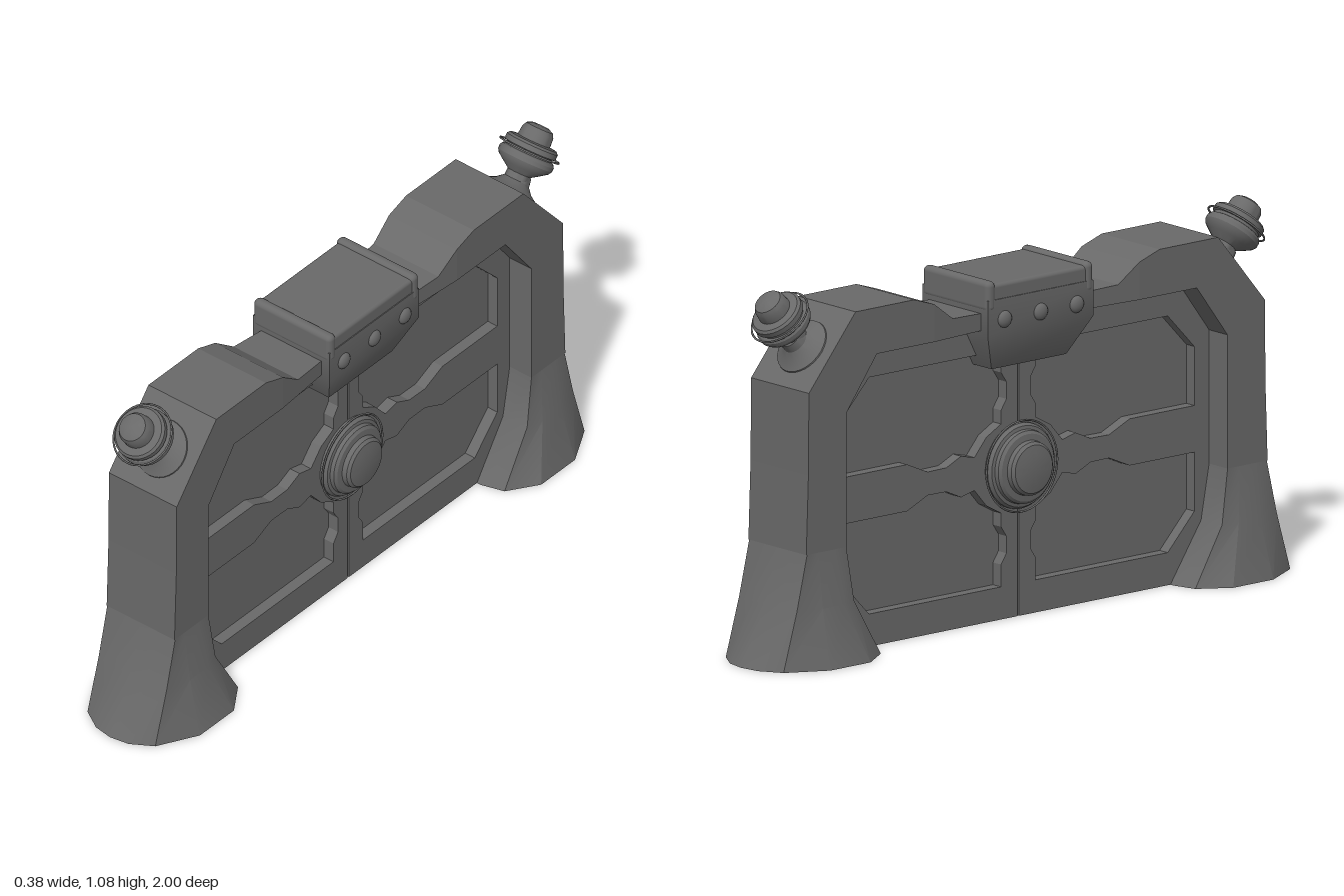
import * as THREE from 'three';
import { RoundedBoxGeometry } from 'three/addons/geometries/RoundedBoxGeometry.js';
import { toCreasedNormals } from 'three/addons/utils/BufferGeometryUtils.js';

const darkGrey = new THREE.MeshStandardMaterial({ color: 0x696969 });
const darkGreyOpen = new THREE.MeshStandardMaterial({ color: 0x696969, side: THREE.DoubleSide });
const CENTER_Y = 0.44;

function add(parent, name, geometry, material = darkGrey) {
  const mesh = new THREE.Mesh(geometry, material);
  mesh.name = name;
  parent.add(mesh);
  return mesh;
}

// Extrudes a (z, y) outline symmetrically along x.
function plate(points, halfDepth, holes = []) {
  const toVec = (list) => list.map(([z, y]) => new THREE.Vector2(z, y));
  const shape = new THREE.Shape(toVec(points));
  holes.forEach((h) => shape.holes.push(new THREE.Path(toVec(h))));
  const g = new THREE.ExtrudeGeometry(shape, { depth: 2 * halfDepth, bevelEnabled: false });
  return g.translate(0, 0, -halfDepth).rotateY(-Math.PI / 2);
}

// Skins rings of [x, z] points, each at a height y; the ends can be capped.
function loft(levels, capped) {
  const pos = [];
  const point = (l, i) => {
    const p = l.ring[i % l.ring.length];
    return [p[0], l.y, p[1]];
  };
  const first = levels[0], last = levels[levels.length - 1];
  for (let i = 0; i < first.ring.length; i++) {
    for (let k = 0; k < levels.length - 1; k++) {
      const a = point(levels[k], i), b = point(levels[k], i + 1);
      const c = point(levels[k + 1], i + 1), d = point(levels[k + 1], i);
      pos.push(...a, ...b, ...c, ...a, ...c, ...d);
    }
    if (capped) {
      pos.push(0, first.y, 0, ...point(first, i + 1), ...point(first, i));
      pos.push(0, last.y, 0, ...point(last, i), ...point(last, i + 1));
    }
  }
  const g = new THREE.BufferGeometry();
  g.setAttribute('position', new THREE.Float32BufferAttribute(pos, 3));
  return toCreasedNormals(g, 0.5);
}

function lathe(profile, segments = 32) {
  const pts = profile.map(([r, t]) => new THREE.Vector2(r, t));
  return toCreasedNormals(new THREE.LatheGeometry(pts, segments), 0.5);
}

// Upper pillar with its shoulder.
function shoulderGeometry() {
  return plate([
    [0.385, 0.985], [0.46, 1.01], [0.68, 1.01], [0.855, 0.8], [0.857, 0.56],
    [0.865, 0.33], [0.715, 0.33], [0.715, 0.72], [0.6, 0.875], [0.385, 0.875],
  ], 0.125);
}

// Low beam from the shoulder to the clamp, getting thinner inwards.
function beamGeometry() {
  const g = plate([[0.19, 0.925], [0.31, 0.93], [0.385, 0.985], [0.385, 0.875], [0.19, 0.875]], 1);
  const p = g.attributes.position;
  for (let i = 0; i < p.count; i++) {
    p.setX(i, Math.sign(p.getX(i)) * (0.11 + 0.015 * (p.getZ(i) - 0.19) / 0.195));
  }
  g.computeVertexNormals();
  return g;
}

// Flared hollow foot below the pillar.
function footGeometry() {
  const ring = (half) => [...half, ...half.slice(1).reverse().map(([x, z]) => [-x, z])];
  return loft([
    { y: 0, ring: ring([[0, 1], [0.06, 0.99], [0.125, 0.95], [0.19, 0.83], [0.19, 0.68], [0.13, 0.59], [0.06, 0.57]]) },
    { y: 0.17, ring: ring([[0, 0.91], [0.06, 0.908], [0.125, 0.9], [0.145, 0.82], [0.145, 0.74], [0.13, 0.69], [0.06, 0.685]]) },
    { y: 0.33, ring: ring([[0, 0.865], [0.06, 0.865], [0.125, 0.862], [0.125, 0.82], [0.125, 0.76], [0.125, 0.715], [0.06, 0.715]]) },
  ], false);
}

// Door leaf with two recessed panels, mirrored about the hub height.
function doorLeafGeometry() {
  const upper = [
    [0.66, 0.508], [0.66, 0.68], [0.56, 0.785], [0.065, 0.785], [0.065, 0.72],
    [0.045, 0.69], [0.045, 0.64], [0.065, 0.61], [0.065, 0.57], [0.12, 0.54],
    [0.165, 0.488], [0.215, 0.5], [0.27, 0.475], [0.34, 0.474], [0.417, 0.508],
  ];
  const lower = upper.map(([z, y]) => [z, 2 * CENTER_Y - y]);
  const outline = [[0.003, 0], [0.73, 0], [0.73, 0.72], [0.61, 0.89], [0.003, 0.89]];
  return plate(outline, 0.045, [upper, lower]);
}

// Beacon on the sloped shoulder: a cone square to the slope and a tilted lamp.
function makeBeacon() {
  const beacon = new THREE.Group();
  beacon.name = 'beacon';
  beacon.position.set(0, 0.9, 0.772);
  const base = add(beacon, 'beaconBase', lathe([
    [0.086, -0.005], [0.084, 0.004], [0.058, 0.018], [0.04, 0.036], [0.034, 0.06], [0, 0.065],
  ]));
  base.rotation.x = Math.atan2(0.77, 0.64);
  const lamp = new THREE.Group();
  lamp.name = 'beaconLamp';
  lamp.rotation.x = Math.atan2(0.65, 0.76);
  add(lamp, 'beaconBody', lathe([
    [0, 0.02], [0.036, 0.03], [0.036, 0.06], [0.062, 0.078], [0.078, 0.09], [0.084, 0.1],
    [0.084, 0.112], [0.079, 0.12], [0.072, 0.123], [0.072, 0.131], [0.079, 0.134],
    [0.079, 0.15], [0.072, 0.157], [0.05, 0.16], [0.048, 0.187], [0.041, 0.2],
    [0.026, 0.207], [0, 0.209],
  ]));
  const ring = add(lamp, 'beaconRing', new THREE.TorusGeometry(0.091, 0.003, 6, 40));
  ring.rotation.x = Math.PI / 2;
  ring.position.y = 0.13;
  beacon.add(lamp);
  return beacon;
}

// Clamp block over the middle of the arch.
function makeClamp() {
  const clamp = new THREE.Group();
  clamp.name = 'topClamp';
  const rect = (x, z) => [[-x, z], [x, z], [x, -z], [-x, -z]];
  add(clamp, 'clampBody', loft([
    { y: 0.75, ring: rect(0.09, 0.14) },
    { y: 0.862, ring: rect(0.141, 0.198) },
    { y: 0.966, ring: rect(0.141, 0.198) },
  ], true));
  add(clamp, 'clampCap', new RoundedBoxGeometry(0.276, 0.07, 0.37, 2, 0.012)).position.y = 0.976;
  for (const s of [-1, 1]) {
    add(clamp, 'clampRim', new RoundedBoxGeometry(0.286, 0.09, 0.034, 3, 0.016)).position.set(0, 0.976, s * 0.183);
    for (const z of [-0.135, 0, 0.135]) {
      const bolt = add(clamp, 'clampBolt', new THREE.SphereGeometry(0.025, 16, 10));
      bolt.scale.x = 0.56;
      bolt.position.set(s * 0.141, 0.905, z);
    }
  }
  return clamp;
}

// Round lock in the middle of each door face.
function makeHub() {
  const hub = new THREE.Group();
  hub.name = 'lockHub';
  add(hub, 'lockBody', lathe([
    [0.125, 0], [0.125, 0.056], [0.118, 0.066], [0.108, 0.068], [0.106, 0.08], [0.098, 0.087],
    [0.08, 0.089], [0.078, 0.104], [0.07, 0.112], [0.045, 0.116], [0, 0.118],
  ], 40));
  const ring = add(hub, 'lockRing', new THREE.TorusGeometry(0.133, 0.003, 6, 48));
  ring.rotation.x = Math.PI / 2;
  ring.position.y = 0.06;
  hub.position.y = CENTER_Y;
  return hub;
}

export function createModel() {
  const model = new THREE.Group();
  model.name = 'gate';

  // Two identical ends, turned half a circle.
  for (const turn of [0, Math.PI]) {
    const end = new THREE.Group();
    end.name = turn ? 'backHalf' : 'frontHalf';
    add(end, 'shoulder', shoulderGeometry());
    add(end, 'beam', beamGeometry());
    add(end, 'foot', footGeometry(), darkGreyOpen);
    add(end, 'doorLeaf', doorLeafGeometry());
    const panel = add(end, 'doorPanel', new THREE.BoxGeometry(0.02, 0.76, 0.66));
    panel.position.set(0, CENTER_Y, 0.35);
    end.add(makeBeacon());
    end.rotation.y = turn;
    model.add(end);
  }

  for (const s of [-1, 1]) {
    const hub = makeHub();
    hub.rotation.z = -s * Math.PI / 2;
    model.add(hub);
  }
  model.add(makeClamp());
  return model;
}
